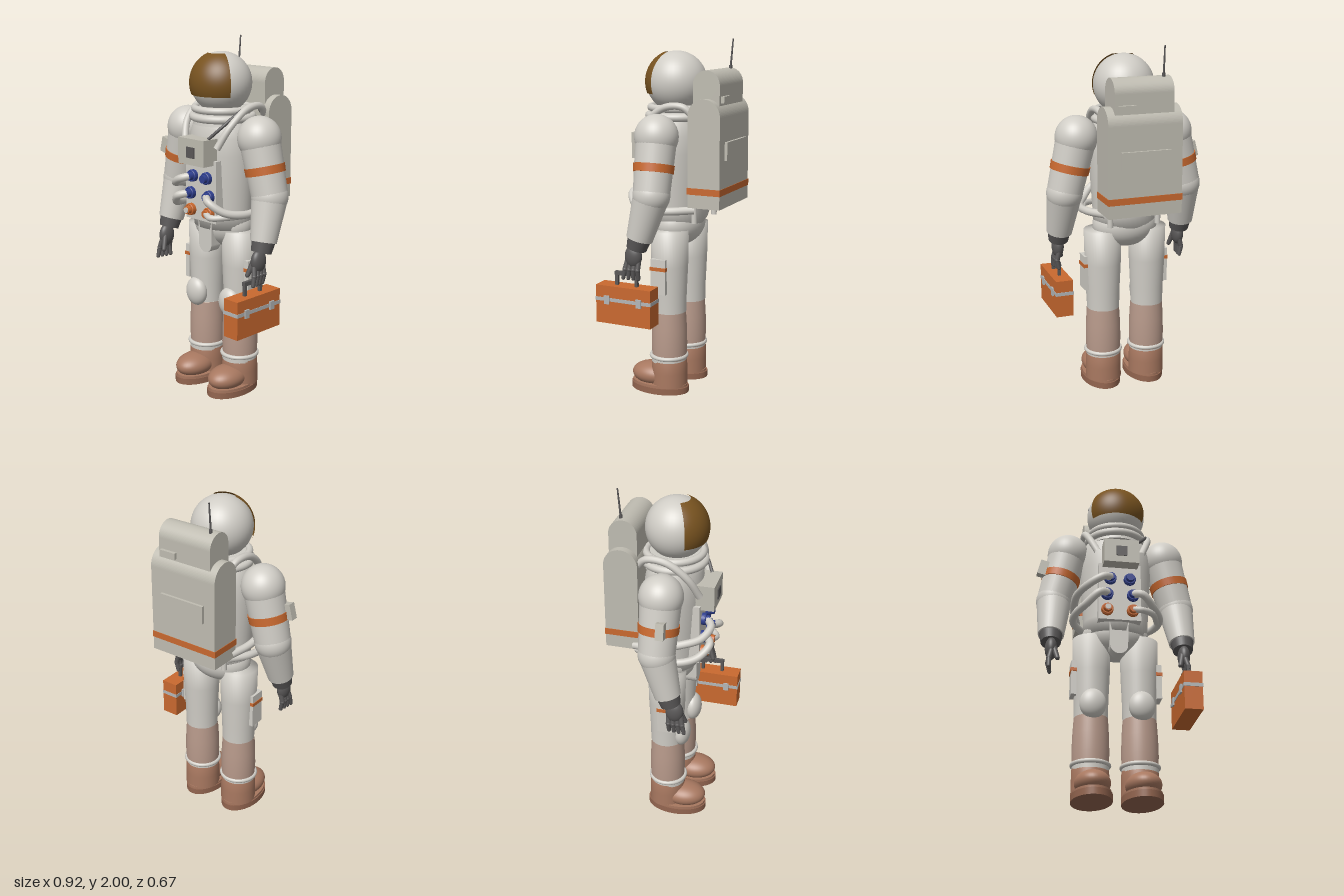
import * as THREE from 'three';

const mat = (name, color, side = THREE.FrontSide) => {
  const m = new THREE.MeshStandardMaterial({ color, side });
  m.name = name;
  return m;
};
const V = (x, y, z) => new THREE.Vector3(x, y, z);

export function createModel() {
  const root = new THREE.Group();
  root.name = 'astronaut';
  const white = mat('suitWhite', 0xd0cdc6), grey = mat('packGrey', 0xbfbcb1);
  const dark = mat('gloveGrey', 0x5a5858), orange = mat('orange', 0xc9692f);
  const blue = mat('connectorBlue', 0x2f3f8f), gold = mat('visorGold', 0x785320, THREE.DoubleSide);
  const dust = mat('dustyFabric', 0xb89a8b), boot = mat('bootBrown', 0xa87860);
  const sole = mat('soleBrown', 0x946650), silver = mat('silver', 0xb4b7b8);

  const add = (name, geo, m, pos = [0, 0, 0], parent = root) => {
    const mesh = new THREE.Mesh(geo, m);
    mesh.name = name;
    mesh.position.set(...pos);
    parent.add(mesh);
    return mesh;
  };
  const box = (name, size, pos, m, parent) => add(name, new THREE.BoxGeometry(...size), m, pos, parent);
  const ball = (name, radii, pos, m, parent) => {
    const b = add(name, new THREE.SphereGeometry(1, 40, 28), m, pos, parent);
    b.scale.set(...radii);
    return b;
  };
  // Tapered cylinder from a to b
  const rod = (name, a, b, ra, rb, m, parent) => {
    const d = b.clone().sub(a);
    const r = add(name, new THREE.CylinderGeometry(rb, ra, d.length(), 32), m, a.clone().add(b).multiplyScalar(0.5).toArray(), parent);
    r.quaternion.setFromUnitVectors(V(0, 1, 0), d.normalize());
    return r;
  };
  const tube = (name, pts, r, m, parent) =>
    add(name, new THREE.TubeGeometry(new THREE.CatmullRomCurve3(pts.map(p => V(...p))), 48, r, 12), m, [0, 0, 0], parent);
  const ring = (name, R, r, pos, m, parent) => {
    const t = add(name, new THREE.TorusGeometry(R, r, 14, 48), m, pos, parent);
    t.rotation.x = Math.PI / 2;
    return t;
  };
  const lathe = (name, pts, m, pos, parent) =>
    add(name, new THREE.LatheGeometry(pts.map(p => new THREE.Vector2(...p)), 40), m, pos, parent);

  // Helmet, visor and neck rings
  ball('helmet', [0.17, 0.17, 0.17], [0, 1.765, 0.03], white);
  const rad = THREE.MathUtils.degToRad;
  add('visor', new THREE.SphereGeometry(0.177, 40, 32, rad(90 - 62), rad(124), rad(24), rad(87)), gold, [0, 1.765, 0.03]);
  ring('upperNeckRing', 0.155, 0.02, [0, 1.625, 0.02], white);
  ring('lowerNeckRing', 0.165, 0.022, [0, 1.58, 0.02], white);
  rod('neck', V(0, 1.54, 0.02), V(0, 1.63, 0.02), 0.165, 0.15, white);

  // Torso and hips
  const torso = lathe('torso', [[0, 0.96], [0.18, 0.96], [0.185, 1.05], [0.195, 1.2], [0.205, 1.38], [0.2, 1.48],
    [0.18, 1.55], [0.15, 1.59], [0, 1.6]], white, [0, 0, 0.02]);
  torso.scale.z = 0.8;
  ball('hips', [0.19, 0.13, 0.14], [0, 0.97, 0.015], white);
  const flap = new THREE.Shape();
  flap.moveTo(-0.055, 1.02);
  flap.lineTo(-0.05, 0.87);
  flap.absarc(0, 0.87, 0.05, Math.PI, Math.PI * 2, false);
  flap.lineTo(0.055, 1.02);
  add('frontFlap', new THREE.ExtrudeGeometry(flap, { depth: 0.07, bevelEnabled: false, curveSegments: 16 }), white, [0, 0, 0.09]);

  // Chest panel and control box
  box('chestPanel', [0.24, 0.35, 0.07], [0, 1.185, 0.155], white);
  box('controlBox', [0.2, 0.145, 0.13], [0, 1.408, 0.2], grey);
  box('controlScreen', [0.06, 0.06, 0.008], [0, 1.405, 0.267], dark);

  // Hose connectors
  const connector = (x, y, m) => {
    const g = new THREE.Group();
    g.name = 'hoseConnector';
    g.position.set(x, y, 0.19);
    root.add(g);
    rod('connectorBase', V(0, 0, -0.01), V(0, 0, 0.018), 0.034, 0.034, m, g);
    rod('connectorCap', V(0, 0, 0.01), V(0, 0, 0.045), 0.026, 0.022, m, g);
    add('connectorRim', new THREE.TorusGeometry(0.028, 0.006, 8, 24), m, [0, 0, 0.02], g);
  };
  for (const s of [-1, 1]) {
    connector(s * 0.055, 1.26, blue);
    connector(s * 0.073, 1.16, blue);
    connector(s * 0.072, 1.065, orange);
  }
  rod('portInsert', V(-0.072, 1.065, 0.23), V(-0.072, 1.065, 0.24), 0.016, 0.016, white);

  // Hoses running round the waist to the backpack
  tube('upperWaistHose', [[-0.055, 1.26, 0.22], [-0.1, 1.245, 0.25], [-0.18, 1.205, 0.215], [-0.235, 1.18, 0.11],
    [-0.235, 1.14, -0.02], [-0.2, 1.12, -0.16]], 0.022, white);
  for (const s of [-1, 1]) {
    tube('middleWaistHose', [[s * 0.073, 1.16, 0.22], [s * 0.12, 1.145, 0.25], [s * 0.19, 1.09, 0.2], [s * 0.24, 1.07, 0.1],
      [s * 0.235, 1.075, -0.03], [s * 0.17, 1.08, -0.15]], 0.022, white);
    rod('packPipe', V(s * 0.14, 1.0, -0.14), V(s * 0.14, 1.13, -0.14), 0.016, 0.016, white);
    // Hoses over the shoulders
    tube('shoulderHose', [[s * 0.16, 1.58, -0.15], [s * 0.18, 1.64, -0.09], [s * 0.185, 1.635, 0.02],
      [s * 0.17, 1.55, 0.13], [s * 0.125, 1.43, 0.19]], 0.02, white);
  }
  tube('lowerWaistHose', [[0.072, 1.065, 0.22], [0.12, 1.055, 0.235], [0.19, 1.06, 0.18], [0.23, 1.06, 0.08]], 0.018, white);
  tube('darkCable', [[0.14, 1.6, -0.14], [0.16, 1.65, -0.08], [0.175, 1.63, 0.05], [0.14, 1.55, 0.16], [0.08, 1.48, 0.21]], 0.009, dark);

  // Backpack: two blocks with round tops
  const pack = (name, halfWidth, z0, z1, y0, y1) => {
    const r = (z1 - z0) / 2, c = (z0 + z1) / 2, s = new THREE.Shape();
    s.moveTo(-z1, y0);
    s.lineTo(-z0, y0);
    s.lineTo(-z0, y1 - r);
    s.absarc(-c, y1 - r, r, 0, Math.PI, false);
    const g = new THREE.ExtrudeGeometry(s, { depth: halfWidth * 2, bevelEnabled: false, curveSegments: 20 });
    g.rotateY(Math.PI / 2).translate(-halfWidth, 0, 0);
    add(name, g, grey);
  };
  pack('backpackBody', 0.21, -0.318, -0.13, 1.1, 1.69);
  pack('backpackTop', 0.167, -0.298, -0.142, 1.55, 1.84);
  box('backpackStripe', [0.426, 0.036, 0.194], [0, 1.192, -0.224], orange);
  box('backpackPlate', [0.28, 0.1, 0.016], [0, 1.41, -0.325], grey);
  box('backpackLatch', [0.1, 0.035, 0.03], [0.1, 1.686, -0.302], grey);
  rod('antenna', V(-0.128, 1.82, -0.237), V(-0.128, 2.0, -0.253), 0.006, 0.004, dark);
  rod('antennaBase', V(-0.128, 1.82, -0.237), V(-0.128, 1.855, -0.24), 0.01, 0.009, dark);

  for (const s of [-1, 1]) {
    // Arm
    const arm = new THREE.Group();
    arm.name = s > 0 ? 'leftArm' : 'rightArm';
    root.add(arm);
    const shoulder = V(s * 0.28, 1.488, 0.02), elbow = V(s * 0.355, 1.18, 0.015), wrist = V(s * 0.372, 0.94, 0.08);
    ball('shoulder', [0.12, 0.122, 0.12], shoulder.toArray(), white, arm);
    rod('upperArm', shoulder, elbow, 0.113, 0.1, white, arm);
    const at = t => shoulder.clone().lerp(elbow, t);
    rod('armBand', at(0.47), at(0.61), 0.112, 0.11, orange, arm);
    ball('elbow', [0.102, 0.102, 0.102], elbow.toArray(), white, arm);
    rod('forearm', elbow, wrist, 0.1, 0.073, white, arm);
    rod('gloveCuff', wrist.clone().add(V(0, 0.015, -0.003)), V(s * 0.373, 0.885, 0.098), 0.067, 0.056, dark, arm);

    // Gloved hand with spread fingers
    const hand = new THREE.Group();
    hand.name = 'glove';
    arm.add(hand);
    ball('palm', [0.034, 0.065, 0.05], [s * 0.372, 0.84, 0.118], dark, hand);
    for (let i = 0; i < 4; i++) {
      const z = 0.087 + i * 0.022, tip = 0.088 + i * 0.029;
      const a = V(s * 0.373, 0.815, z), b = V(s * 0.385, 0.765, (z + tip) / 2), c = V(s * (0.375 + i * 0.004), 0.715, tip);
      rod('finger', a, b, 0.015, 0.014, dark, hand);
      rod('fingerTip', b, c, 0.014, 0.011, dark, hand);
      ball('knuckle', [0.015, 0.015, 0.015], b.toArray(), dark, hand);
      ball('fingerEnd', [0.011, 0.011, 0.011], c.toArray(), dark, hand);
    }
    rod('thumb', V(s * 0.36, 0.845, 0.14), V(s * 0.34, 0.765, 0.17), 0.017, 0.013, dark, hand);
    ball('thumbEnd', [0.013, 0.013, 0.013], [s * 0.34, 0.765, 0.17], dark, hand);

    // Leg, dusty below the knee
    const leg = new THREE.Group();
    leg.name = s > 0 ? 'leftLeg' : 'rightLeg';
    leg.position.x = s * 0.135;
    root.add(leg);
    lathe('thigh', [[0.094, 0.48], [0.096, 0.58], [0.104, 0.75], [0.108, 0.95], [0, 0.955]], white, [0, 0, 0.012], leg);
    lathe('shin', [[0.098, 0.2], [0.102, 0.28], [0.1, 0.38], [0.094, 0.48]], dust, [0, 0, 0.015], leg);
    lathe('ankleBand', [[0.1, 0.18], [0.1, 0.215]], white, [0, 0, 0.018], leg);
    ring('ankleRing', 0.1, 0.012, [0, 0.215, 0.018], white, leg);
    ball('kneePad', [0.073, 0.085, 0.05], [0, 0.54, 0.1], white, leg);

    // Thigh pocket with strap
    box('thighPocket', [0.03, 0.2, 0.09], [s * 0.103, 0.7, 0.03], white, leg);
    box('pocketStrap', [0.036, 0.02, 0.096], [s * 0.104, 0.745, 0.03], orange, leg);

    // Boot
    lathe('bootShaft', [[0.104, 0.04], [0.103, 0.12], [0.101, 0.19], [0.09, 0.192]], boot, [0, 0, 0.015], leg);
    ball('bootToe', [0.096, 0.068, 0.13], [0, 0.09, 0.115], boot, leg);
    const base = add('bootSole', new THREE.CylinderGeometry(1, 1, 0.036, 48), sole, [0, 0.018, 0.075], leg);
    base.scale.set(0.11, 1, 0.175);
    const welt = add('bootWelt', new THREE.CylinderGeometry(1, 1, 0.02, 48), boot, [0, 0.04, 0.075], leg);
    welt.scale.set(0.104, 1, 0.168);
  }

  // Box worn on the right upper arm
  const pouch = box('armBox', [0.06, 0.09, 0.045], [-0.422, 1.365, 0.057], grey);
  pouch.rotation.z = -0.25;

  // Tool case carried in the left hand
  const tool = new THREE.Group();
  tool.name = 'toolCase';
  tool.position.set(0.37, 0, 0.162);
  root.add(tool);
  box('caseBody', [0.1, 0.215, 0.335], [0, 0.56, 0], orange, tool);
  box('caseTrim', [0.106, 0.02, 0.341], [0, 0.59, 0], silver, tool);
  for (const s of [-1, 1]) {
    box('caseLatch', [0.118, 0.048, 0.032], [0, 0.588, s * 0.098], silver, tool);
    box('handlePost', [0.018, 0.08, 0.018], [0, 0.7, s * 0.06], dark, tool);
  }
  box('handleGrip', [0.02, 0.022, 0.14], [0, 0.735, 0], dark, tool);

  return root;
}
